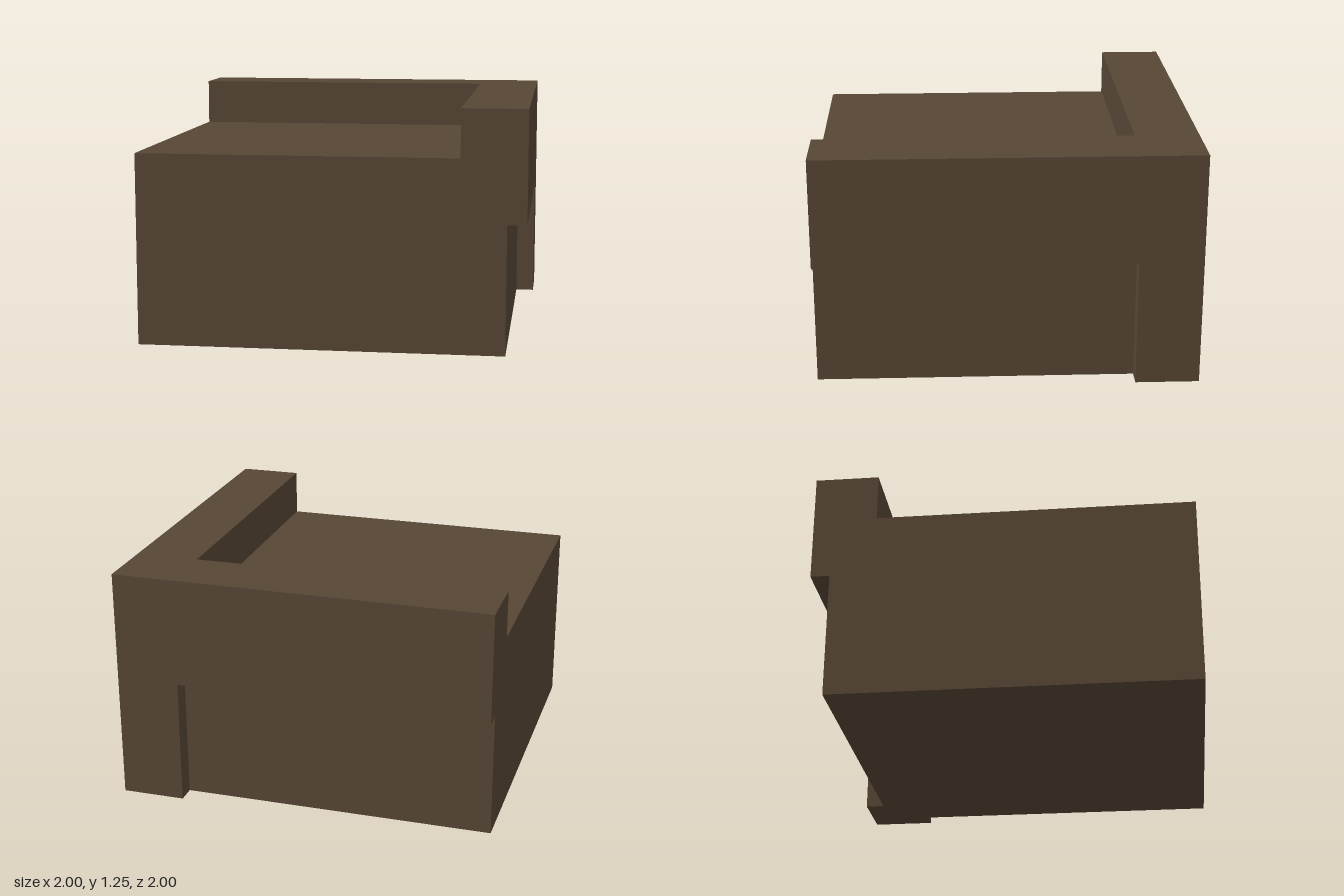
import * as THREE from 'three';

export function createModel() {
  const group = new THREE.Group();
  group.name = 'cornerBlock';
  const brown = new THREE.MeshStandardMaterial({ color: 0x574635 });
  brown.name = 'brown';

  // Raises a plan outline, given as [x, z] corners, from y0 to y1
  function slab(name, corners, y0, y1) {
    const shape = new THREE.Shape(corners.map(([x, z]) => new THREE.Vector2(x, -z)));
    const geometry = new THREE.ExtrudeGeometry(shape, { depth: y1 - y0, bevelEnabled: false });
    geometry.rotateX(-Math.PI / 2).translate(0, y0, 0);
    const mesh = new THREE.Mesh(geometry, brown);
    mesh.name = name;
    group.add(mesh);
  }

  const post = 0.665;   // inner edge of the corner post and rim
  const inset = 0.9;    // recessed wall plane
  const ledge = 0.67;   // underside of the overhang
  const deck = 1;       // top of the main block

  // Lower block, recessed on the +x side and the back, with a full corner post
  slab('recessedBase', [
    [-1, 1], [inset, 1], [inset, -post], [1, -post],
    [1, -1], [post, -1], [post, -inset], [-1, -inset],
  ], 0, ledge);

  // Full-width block that overhangs the recesses
  slab('overhangBlock', [[-1, 1], [1, 1], [1, -1], [-1, -1]], ledge, deck);

  // Raised L-shaped rim along the +x side and the back
  slab('raisedRim', [
    [post, 1], [1, 1], [1, -1], [-1, -1], [-1, -post], [post, -post],
  ], deck, 1.25);

  return group;
}
